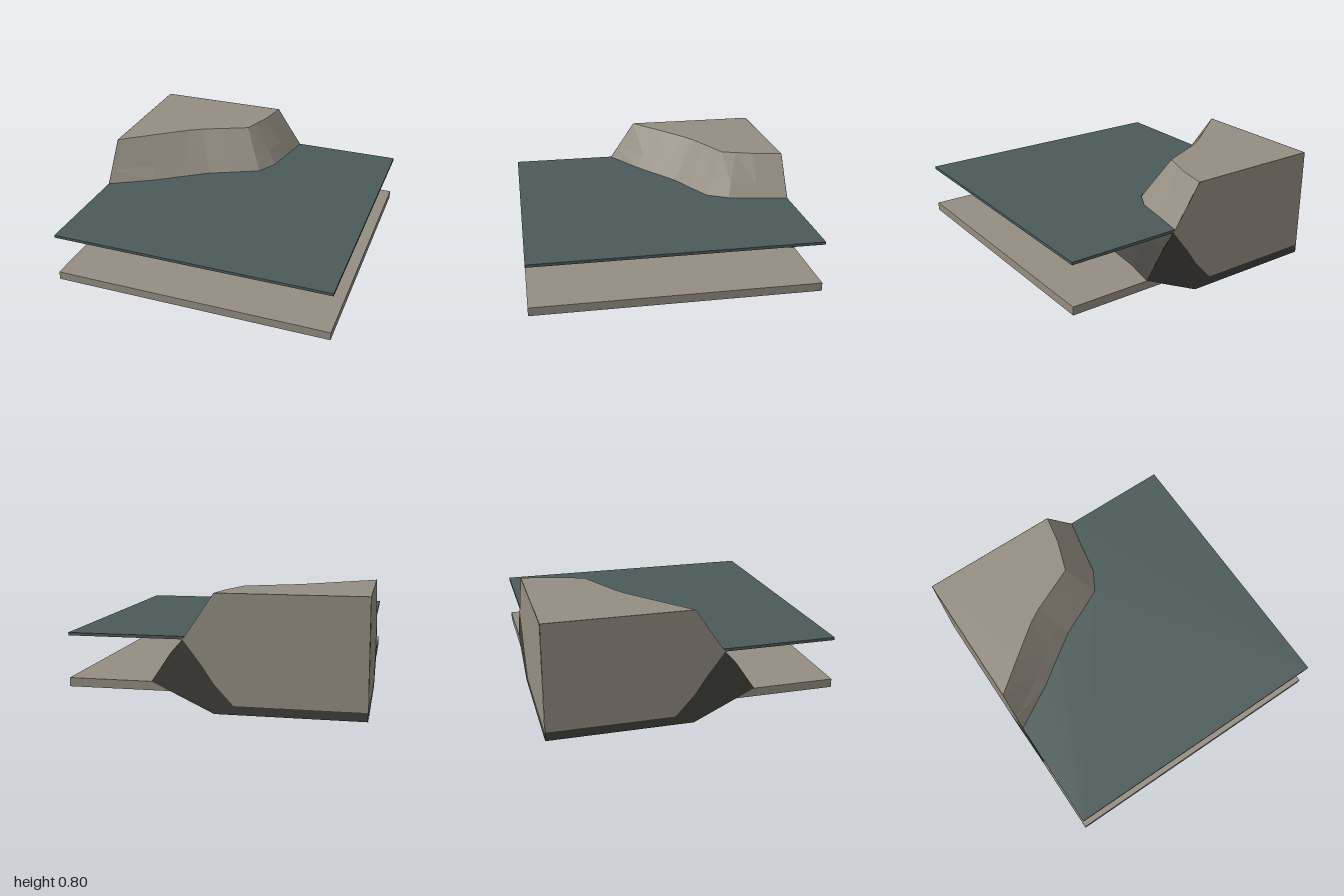
import * as THREE from 'three';

const mat = (name, color, flat = true) => {
  const m = new THREE.MeshStandardMaterial({ color, flatShading: flat, side: THREE.DoubleSide });
  m.name = name;
  return m;
};

// Cliff edge in plan [x, z]: at the crest and at the waterline
const crest = [[-1, 0], [-0.77, -0.18], [-0.55, -0.35], [-0.45, -0.41], [-0.34, -0.46],
  [-0.12, -0.56], [-0.085, -0.66], [-0.04, -0.79], [0, -1]];
const shore = [[-1, 0.2], [-0.69, 0.02], [-0.48, -0.13], [-0.33, -0.235], [-0.15, -0.32],
  [0.03, -0.41], [0.115, -0.56], [0.155, -0.78], [0.2, -1]];

// Cliff edge pushed outwards: 0 is the crest, 1 the waterline
const edge = k => crest.map(([x, z], i) => [x + (shore[i][0] - x) * k, z + (shore[i][1] - z) * k]);

// Faceted wall through a list of [height, push] levels, top to bottom
function wall(levels) {
  const rings = levels.map(([y, k]) => edge(k).map(([x, z]) => [x, y, z]));
  const pos = [];
  for (let r = 0; r + 1 < rings.length; r++) {
    const a = rings[r], b = rings[r + 1];
    for (let i = 0; i + 1 < a.length; i++) {
      pos.push(...a[i], ...b[i], ...b[i + 1], ...a[i], ...b[i + 1], ...a[i + 1]);
    }
  }
  const g = new THREE.BufferGeometry();
  g.setAttribute('position', new THREE.Float32BufferAttribute(pos, 3));
  g.computeVertexNormals();
  return g;
}

const shape = pts => new THREE.Shape(pts.map(([x, y]) => new THREE.Vector2(x, y)));
const flipZ = pts => pts.map(([x, z]) => [x, -z]);

// Square sheet with the cliff corner cut away
function sheet(k, y0, y1) {
  const outline = [[1, -1], [1, 1], [-1, 1], ...edge(k)];
  return new THREE.ExtrudeGeometry(shape(flipZ(outline)), { depth: y1 - y0, bevelEnabled: false })
    .rotateX(-Math.PI / 2).translate(0, y0, 0);
}

export function createModel() {
  const rock = mat('rock', 0x948d82);
  const wetRock = mat('wet rock', 0x403f3a);
  const water = mat('water', 0x4c5a5a);

  const model = new THREE.Group();
  model.name = 'shoreCliff';
  const add = (name, geometry, material, parent = model) => {
    const m = new THREE.Mesh(geometry, material);
    m.name = name;
    parent.add(m);
    return m;
  };

  // Flat sheets
  add('waterSurface', sheet(1, 0.49, 0.51), water);
  add('seaBed', sheet(1.47, 0.14, 0.2), rock);

  // Cliff walls above and below the water
  const cliff = new THREE.Group();
  cliff.name = 'cliff';
  model.add(cliff);
  add('dryWall', wall([[0.8, 0], [0.6, 0.67], [0.5, 1]]), rock, cliff);
  add('wetWall', wall([[0.5, 1], [0.4, 1.45], [0.2, 2.12], [0, 0]]), wetRock, cliff);

  // Level top and underside
  const plan = [[-1, -1], ...crest];
  add('cliffTop', new THREE.ShapeGeometry(shape(flipZ(plan))).rotateX(-Math.PI / 2).translate(0, 0.8, 0), rock, cliff);
  add('cliffUnderside', new THREE.ShapeGeometry(shape(plan)).rotateX(Math.PI / 2), rock, cliff);

  // Cut faces on the back and the side: dry core with a wet rim
  const core = [[-1, 0.8], [0, 0.8], [0.134, 0.6], [0.21, 0.49], [0.08, 0.32], [0, 0.2], [-0.13, 0.06], [-1, 0.06]];
  const rim = [[0.21, 0.49], [0.29, 0.4], [0.424, 0.2], [0, 0], [-1, 0],
    [-1, 0.06], [-0.13, 0.06], [0, 0.2], [0.08, 0.32]];
  for (const [part, pts, material] of [['Core', core, rock], ['Rim', rim, wetRock]]) {
    const back = pts.map(([u, y]) => [-u, y]);
    add('backCut' + part, new THREE.ShapeGeometry(shape(back)).rotateY(Math.PI).translate(0, 0, -1.001), material, cliff);
    add('sideCut' + part, new THREE.ShapeGeometry(shape(pts)).rotateY(-Math.PI / 2).translate(-1.001, 0, 0), material, cliff);
  }
  return model;
}
